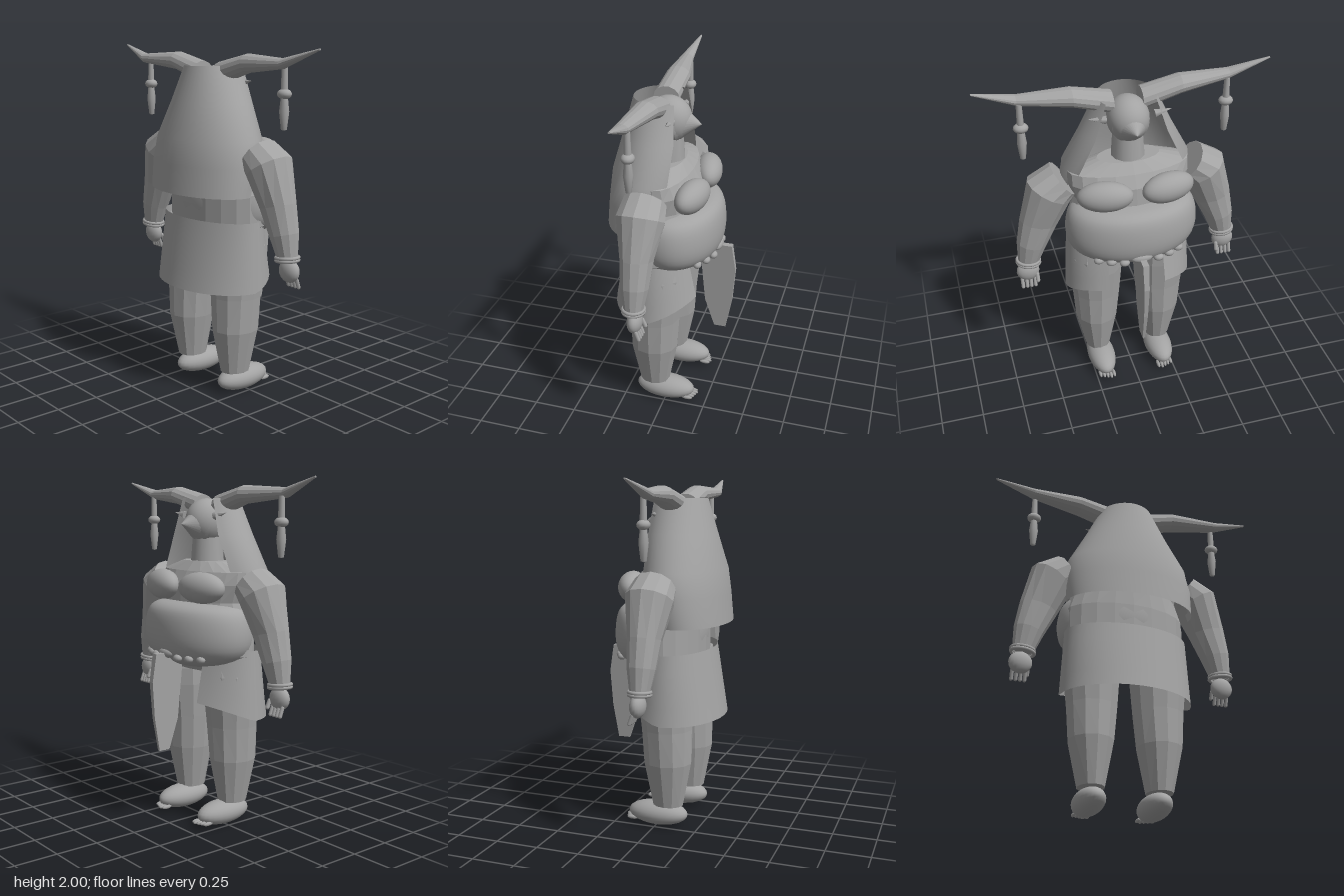
import * as THREE from 'three';

// One colour; double-sided because the veil and skirt are open shells
const stone = new THREE.MeshStandardMaterial({ color: 0xa3a3a3, side: THREE.DoubleSide });
stone.name = 'stoneGrey';

function add(parent, name, geometry, x = 0, y = 0, z = 0) {
  const mesh = new THREE.Mesh(geometry, stone);
  mesh.name = name;
  mesh.position.set(x, y, z);
  parent.add(mesh);
  return mesh;
}

function ellipsoid(parent, name, [x, y, z], [rx, ry, rz], seg = 28) {
  const mesh = add(parent, name, new THREE.SphereGeometry(1, seg, Math.ceil(seg / 2)), x, y, z);
  mesh.scale.set(rx, ry, rz);
  return mesh;
}

// Grid surface through rows of points; closed rows wrap round and get end caps
function skin(rows, closed, flat = true) {
  const n = rows[0].length, pos = rows.flat(2), index = [];
  for (let r = 0; r < rows.length - 1; r++) {
    for (let i = 0; i < (closed ? n : n - 1); i++) {
      const a = r * n + i, b = r * n + (i + 1) % n;
      index.push(a, a + n, b, b, a + n, b + n);
    }
  }
  if (closed) {
    const last = (rows.length - 1) * n;
    for (let i = 1; i < n - 1; i++) {
      index.push(0, i, i + 1, last, last + i + 1, last + i);
    }
  }
  let g = new THREE.BufferGeometry();
  g.setAttribute('position', new THREE.Float32BufferAttribute(pos, 3));
  g.setIndex(index);
  if (flat) g = g.toNonIndexed();
  g.computeVertexNormals();
  return g;
}

// Ellipse round centre c, spanned by the half axes a and b
function ring(c, a, b, n, from = 0, to = Math.PI * 2, ends = false) {
  return Array.from({ length: n }, (_, i) => {
    const t = from + (to - from) * i / (ends ? n - 1 : n);
    return c.map((v, k) => v + a[k] * Math.cos(t) + b[k] * Math.sin(t));
  });
}

// Stacked level rings: [y, centreX, centreZ, radiusX, radiusZ]
const column = (rings, n) => skin(rings.map(([y, x, z, rx, rz]) =>
  ring([x, y, z], [rx, 0, 0], [0, 0, rz], n)), true);

function buildTorso(g) {
  add(g, 'torso', column([
    [0.92, -0.04, 0, 0.14, 0.28], [1.02, -0.03, 0, 0.2, 0.36], [1.2, -0.03, 0, 0.2, 0.36],
    [1.32, -0.03, 0, 0.19, 0.32], [1.42, -0.03, 0, 0.18, 0.35],
    [1.49, -0.03, 0, 0.14, 0.35], [1.545, -0.03, 0, 0.09, 0.18]], 20));
  const profile = [[0, 0.925], [0.35, 0.94], [0.65, 0.965], [0.85, 1], [0.96, 1.05], [1, 1.12],
    [0.985, 1.2], [0.93, 1.26], [0.82, 1.295], [0.6, 1.315], [0, 1.33]];
  const belly = add(g, 'belly', new THREE.LatheGeometry(
    new THREE.SplineCurve(profile.map(p => new THREE.Vector2(...p))).getPoints(24), 40), 0.03);
  belly.scale.set(0.26, 1, 0.385);
  for (const s of [-1, 1]) {
    ellipsoid(g, 'breast', [0.15, 1.405, s * 0.18], [0.08, 0.088, 0.157]).rotation.y = -s * 0.2;
    // Belt beads follow the underside of the belly
    for (const z of [0.1, 0.17, 0.235]) {
      ellipsoid(g, 'beltBead', [0.27 - z * z * 1.3, 1.01, s * z], [0.024, 0.022, 0.03], 12);
    }
  }
  ellipsoid(g, 'beltBuckle', [0.26, 1.03, 0], [0.03, 0.03, 0.065], 16);
  add(g, 'neck', new THREE.CylinderGeometry(0.085, 0.1, 0.2, 12), -0.04, 1.6, 0);
}

function buildHead(g) {
  ellipsoid(g, 'head', [-0.035, 1.77, 0], [0.13, 0.13, 0.118], 32);
  const snout = add(g, 'snout', new THREE.ConeGeometry(0.105, 0.13, 24), 0.087, 1.755, 0);
  snout.rotation.z = -Math.PI / 2;
}

function buildCloth(g) {
  // Veil: open at the front and at the crown
  const veil = [[1.2, -0.15, 0.22, 0.38, 1.7], [1.36, -0.13, 0.225, 0.385, 1.9],
    [1.5, -0.1, 0.24, 0.365, 2.2], [1.7, -0.08, 0.205, 0.26, 2.25], [1.9, -0.06, 0.17, 0.165, 2.15]];
  add(g, 'veil', skin(veil.map(([y, x, rx, rz, half]) => ring([x, y, 0], [rx, 0, 0], [0, 0, rz],
    32, Math.PI - half, Math.PI + half, true)), false, false));
  // Skirt: split at the front, hem rising toward the split
  const gap = 0.46, rows = [];
  for (let r = 0; r <= 4; r++) {
    const k = r / 4;
    const row = ring([-0.07, 0, 0], [0.275 - 0.07 * k, 0, 0], [0, 0, 0.385 - 0.02 * k],
      33, gap, Math.PI * 2 - gap, true);
    rows.push(row.map(([x, , z]) => {
      const hem = 0.65 + 0.1 * Math.max(0, (x + 0.07) / 0.24);
      return [x, hem + (1.05 - hem) * k, z];
    }));
  }
  add(g, 'skirt', skin(rows, false, false));
  // Hanging front panel, thin from side to side
  const shape = new THREE.Shape([[0.16, 0.96], [0.175, 0.8], [0.19, 0.64], [0.25, 0.46], [0.32, 0.46],
    [0.355, 0.66], [0.37, 0.87], [0.345, 1.03], [0.27, 1.03]].map(p => new THREE.Vector2(...p)));
  const panel = new THREE.ExtrudeGeometry(shape, { depth: 1, bevelEnabled: false });
  const p = panel.attributes.position;
  for (let i = 0; i < p.count; i++) {
    p.setZ(i, (p.getZ(i) - 0.5) * (0.016 + 0.035 * (p.getY(i) - 0.46)));
  }
  panel.computeVertexNormals();
  add(g, 'frontPanel', panel);
}

function buildLeg(g) {
  add(g, 'leg', column([
    [0.14, -0.07, 0.197, 0.09, 0.077], [0.4, -0.07, 0.2, 0.14, 0.13], [0.6, -0.065, 0.197, 0.148, 0.147],
    [0.8, -0.06, 0.2, 0.165, 0.165], [0.9, -0.06, 0.2, 0.17, 0.165], [1.02, -0.06, 0.195, 0.15, 0.14]], 12));
  ellipsoid(g, 'foot', [-0.005, 0.08, 0.19], [0.18, 0.072, 0.085]);
  for (let i = 0; i < 5; i++) {
    const z = 0.19 + (i - 2) * 0.021;
    ellipsoid(g, 'toe', [0.165 - Math.abs(i - 1) * 0.008, 0.043, z], [0.035, 0.012, 0.011], 10);
  }
}

function buildArm(g) {
  // From wrist to shoulder: y, z, radius along x, radius across, slope of the section
  const arm = [[0.9, 0.6, 0.055, 0.063, 0.15], [1.02, 0.575, 0.078, 0.088, 0.25],
    [1.17, 0.525, 0.092, 0.112, 0.25], [1.37, 0.455, 0.135, 0.138, 0.55],
    [1.43, 0.375, 0.12, 0.11, 0.95]];
  add(g, 'arm', skin(arm.map(([y, z, rx, r, tilt]) => ring([-0.058, y, z], [rx, 0, 0],
    [0, r * Math.sin(tilt), r * Math.cos(tilt)], 12)), true));
  for (const y of [0.885, 0.9]) {
    const band = add(g, 'bracelet', new THREE.TorusGeometry(0.066, 0.01, 8, 24), -0.058, y, 0.602);
    band.rotation.x = Math.PI / 2 - 0.1;
    band.scale.x = 0.88;
  }
  ellipsoid(g, 'hand', [-0.05, 0.825, 0.61], [0.042, 0.065, 0.068], 20);
  for (let i = 0; i < 4; i++) {
    const finger = add(g, 'finger', new THREE.CapsuleGeometry(0.011, 0.05, 3, 8),
      -0.025, 0.758, 0.575 + i * 0.025);
    finger.rotation.z = 0.35;
  }
  const thumb = add(g, 'thumb', new THREE.CapsuleGeometry(0.012, 0.04, 3, 8), -0.015, 0.79, 0.56);
  thumb.rotation.z = 0.4;
}

function buildHorn(g) {
  // From tip to root: z, y, x, radius along x, radius along y
  const horn = [[0.82, 2, -0.075, 0.006, 0.005], [0.59, 1.925, -0.1, 0.04, 0.028],
    [0.3, 1.918, -0.07, 0.07, 0.052], [0.08, 1.86, -0.075, 0.075, 0.062]];
  add(g, 'horn', skin(horn.map(([z, y, x, rx, ry]) =>
    ring([x, y, z], [rx, 0, 0], [0, ry, 0], 14)), true));
  // Pendant hanging from the horn
  add(g, 'pendantCord', new THREE.CylinderGeometry(0.016, 0.02, 0.14, 10), -0.075, 1.84, 0.578);
  ellipsoid(g, 'pendantBead', [-0.075, 1.77, 0.578], [0.036, 0.028, 0.042], 16);
  const drop = [[0, 1.58], [0.016, 1.585], [0.027, 1.68], [0.018, 1.76]];
  add(g, 'pendantDrop', new THREE.LatheGeometry(drop.map(p => new THREE.Vector2(...p)), 10), -0.075, 0, 0.578);
  const ear = add(g, 'ear', new THREE.ConeGeometry(0.025, 0.1, 6), 0.015, 1.81, 0.185);
  ear.rotation.x = 1.4;
}

export function createModel() {
  const model = new THREE.Group();
  model.name = 'hornedFigure';
  buildTorso(model);
  buildHead(model);
  buildCloth(model);
  // Paired parts are built on +z and mirrored
  for (const s of [1, -1]) {
    const side = new THREE.Group();
    side.name = s > 0 ? 'sideNear' : 'sideFar';
    side.scale.z = s;
    buildLeg(side);
    buildArm(side);
    buildHorn(side);
    model.add(side);
  }
  return model;
}
